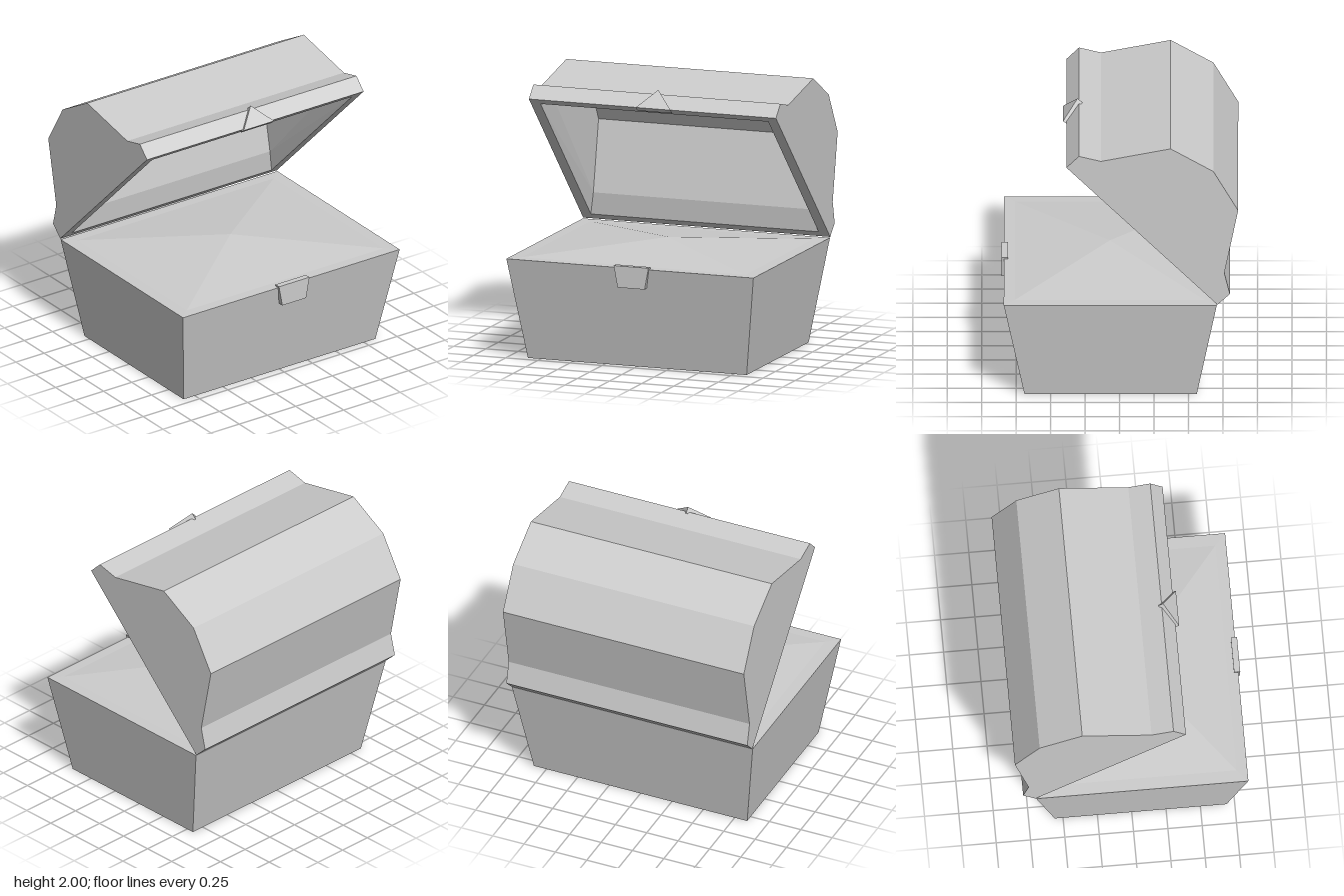
import * as THREE from 'three';

const material = new THREE.MeshStandardMaterial({ color: 0xcccccc, flatShading: true });

// Flat-shaded mesh from convex polygons (corners counter-clockwise seen from outside)
function facets(name, polygons) {
  const pos = [];
  for (const p of polygons) {
    for (let i = 1; i < p.length - 1; i++) pos.push(...p[0], ...p[i], ...p[i + 1]);
  }
  const geo = new THREE.BufferGeometry();
  geo.setAttribute('position', new THREE.Float32BufferAttribute(pos, 3));
  geo.computeVertexNormals();
  const mesh = new THREE.Mesh(geo, material);
  mesh.name = name;
  return mesh;
}

// Horizontal rectangle, counter-clockwise from above
const rect = (x0, x1, z, y) => [[x0, y, z], [x1, y, z], [x1, y, -z], [x0, y, -z]];

// Quads joining two matching closed rings
const band = (a, b) => a.map((p, i) => {
  const j = (i + 1) % a.length;
  return [p, a[j], b[j], b[i]];
});

// Open-bottomed shell across z: strips along a clockwise profile plus its two end walls.
// The last profile edge (end to start) stays open.
function shell(profile, halfWidth) {
  const at = (i, s) => [...profile[i], s * halfWidth(i)];
  const faces = [];
  for (let i = 0; i < profile.length - 1; i++) {
    faces.push([at(i, 1), at(i + 1, 1), at(i + 1, -1), at(i, -1)]);
  }
  const contour = profile.map((p) => new THREE.Vector2(...p));
  for (let [a, b, c] of THREE.ShapeUtils.triangulateShape(contour, [])) {
    const [A, B, C] = [contour[a], contour[b], contour[c]];
    if ((B.x - A.x) * (C.y - A.y) - (B.y - A.y) * (C.x - A.x) < 0) [b, c] = [c, b];
    faces.push([at(a, 1), at(b, 1), at(c, 1)], [at(a, -1), at(c, -1), at(b, -1)]);
  }
  return faces;
}

// Solid plate between two matching outlines, front one counter-clockwise
const plate = (front, back) => [front, [...back].reverse(), ...band(back, front)];

export function createModel() {
  const group = new THREE.Group();

  // Tapered box with a flat rim around the contents
  const foot = rect(-0.56, 0.69, 0.85, 0);
  const top = rect(-0.705, 0.84, 0.96, 0.755);
  const inner = rect(-0.62, 0.76, 0.87, 0.757);
  group.add(facets('chestBase', [[...foot].reverse(), ...band(foot, top), ...band(top, inner)]));

  // Contents heaped to a low peak
  const peak = [0.07, 0.84, 0];
  group.add(facets('heapedContents', inner.map((p, i) => [p, inner[(i + 1) % 4], peak])));

  // Hollow lid, tilted open
  const outerProfile = [
    [-0.71, 0.76], [-0.8, 0.845], [-0.76, 1.01], [-0.86, 1.51], [-0.68, 1.82],
    [-0.37, 2], [0.135, 1.9], [0.295, 1.94], [0.385, 1.85],
  ];
  const innerProfile = [
    [-0.67, 0.8], [-0.655, 0.965], [-0.76, 1.49], [-0.61, 1.75],
    [-0.36, 1.89], [0.12, 1.79], [0.345, 1.812],
  ];
  const lid = new THREE.Group();
  lid.name = 'lid';
  lid.add(facets('lidOuter', shell(outerProfile, () => 0.96)));
  const last = innerProfile.length - 1;
  const lining = shell(innerProfile, (i) => (i === 0 || i === last ? 0.885 : 0.86));
  lid.add(facets('lidLining', lining.map((f) => [...f].reverse())));

  // Sloping rim around the lid opening
  const mouth = (p, z) => {
    const [a, b] = [p[0], p[p.length - 1]];
    return [[...a, z], [...a, -z], [...b, -z], [...b, z]];
  };
  lid.add(facets('lidRim', band(mouth(outerProfile, 0.96), mouth(innerProfile, 0.885))));

  // Triangular clasp on the lid's front edge
  const triangle = (x0, y0, x1, y1) => [[x0, y0, 0.12], [x0, y0, -0.15], [x1, y1, -0.015]];
  lid.add(facets('lidClasp', plate(
    triangle(0.41, 1.855, 0.305, 1.975), triangle(0.375, 1.825, 0.27, 1.942))));
  group.add(lid);

  // Tapered clasp plate on the box
  const trapezoid = (x) => [[x, 0.61, 0.09], [x, 0.61, -0.12], [x, 0.77, -0.15], [x, 0.77, 0.12]];
  group.add(facets('baseClasp', plate(trapezoid(0.855), trapezoid(0.81))));

  return group;
}
